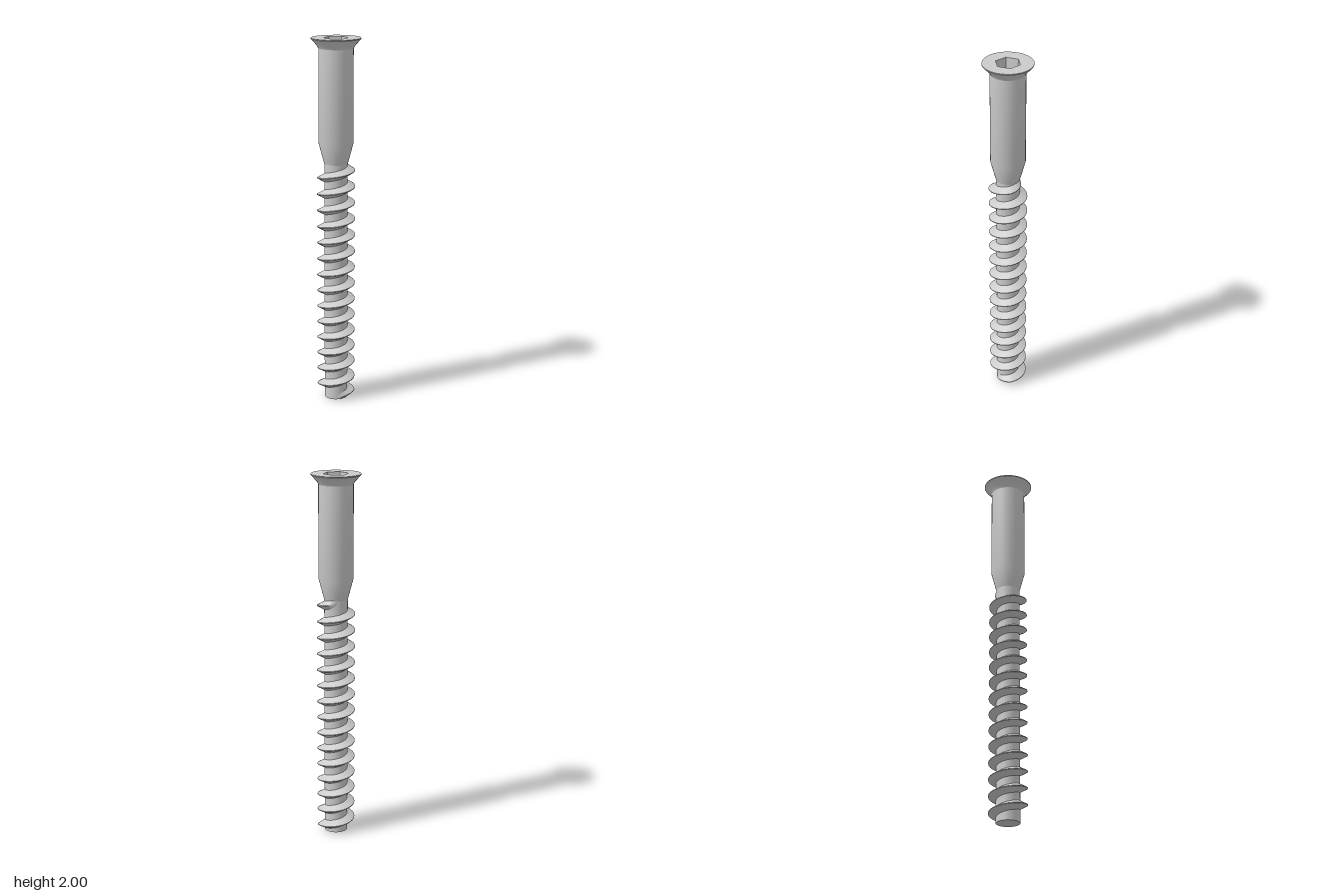
import * as THREE from 'three';
import { toCreasedNormals } from 'three/addons/utils/BufferGeometryUtils.js';

const SIDES = 32;
const HEAD_R = 0.133;
const SOCKET_R = 0.067;
const SOCKET_DEPTH = 0.07;

// Helical ridge: a triangular cross-section swept round the core
function threadGeometry() {
  const pitch = 0.0903, base = 0.01, steps = 28;
  const rootR = 0.06, tipR = 0.103, half = 0.026;
  const turns = 14.5, count = Math.round(turns * steps);
  const positions = [], index = [];
  for (let i = 0; i <= count; i++) {
    const turn = i / steps, a = turn * Math.PI * 2;
    const y = base + turn * pitch;
    // the ridge grows in and fades out over a quarter turn
    const grow = Math.min(1, turn / 0.25, (turns - turn) / 0.25);
    const tip = rootR + (tipR - rootR) * grow;
    for (const [r, dy] of [[rootR, -half], [tip, -0.002], [tip, 0.002], [rootR, half]]) {
      positions.push(r * Math.sin(a), Math.max(0, y + dy), r * Math.cos(a));
    }
    if (i === count) continue;
    for (let k = 0; k < 3; k++) {
      const p = i * 4 + k, q = p + 4;
      index.push(p, q, q + 1, p, q + 1, p + 1);
    }
  }
  const g = new THREE.BufferGeometry();
  g.setAttribute('position', new THREE.Float32BufferAttribute(positions, 3));
  g.setIndex(index);
  return toCreasedNormals(g, 0.6);
}

export function createModel() {
  const group = new THREE.Group();
  const material = new THREE.MeshStandardMaterial({ color: 0xcccccc });
  const add = (name, geometry, mat = material) => {
    const mesh = new THREE.Mesh(geometry, mat);
    mesh.name = name;
    group.add(mesh);
    return mesh;
  };
  const lathe = (points) => toCreasedNormals(
    new THREE.LatheGeometry(points.map(([r, y]) => new THREE.Vector2(r, y)), SIDES), 0.5);

  // Threaded core, closed at the bottom
  add('core', lathe([[0, 0], [0.063, 0], [0.063, 1.33]]));
  add('thread', threadGeometry());

  // Neck taper and smooth shank
  add('shank', lathe([[0.063, 1.33], [0.068, 1.345], [0.093, 1.44], [0.093, 1.945]]));

  // Flared countersunk head
  add('head', lathe([[0.093, 1.945], [0.101, 1.96], [HEAD_R, 1.995], [HEAD_R, 2]]));

  // Flat top with a hexagonal opening
  const ring = (r, n) => Array.from({ length: n }, (_, i) => {
    const a = (i / n) * Math.PI * 2;
    return new THREE.Vector2(r * Math.cos(a), r * Math.sin(a));
  });
  const face = new THREE.Shape(ring(HEAD_R, SIDES));
  face.holes.push(new THREE.Path(ring(SOCKET_R, 6)));
  add('headTop', new THREE.ShapeGeometry(face).rotateX(-Math.PI / 2)).position.y = 2;

  // Hex socket walls and floor
  const floorR = SOCKET_R * 0.95;
  const walls = new THREE.CylinderGeometry(SOCKET_R, floorR, SOCKET_DEPTH, 6, 1, true, Math.PI / 2);
  const inside = new THREE.MeshStandardMaterial({ color: 0xcccccc, side: THREE.BackSide });
  add('socketWalls', toCreasedNormals(walls, 0.5), inside).position.y = 2 - SOCKET_DEPTH / 2;
  add('socketFloor', new THREE.CircleGeometry(floorR, 6).rotateX(-Math.PI / 2)).position.y = 2 - SOCKET_DEPTH;

  return group;
}
